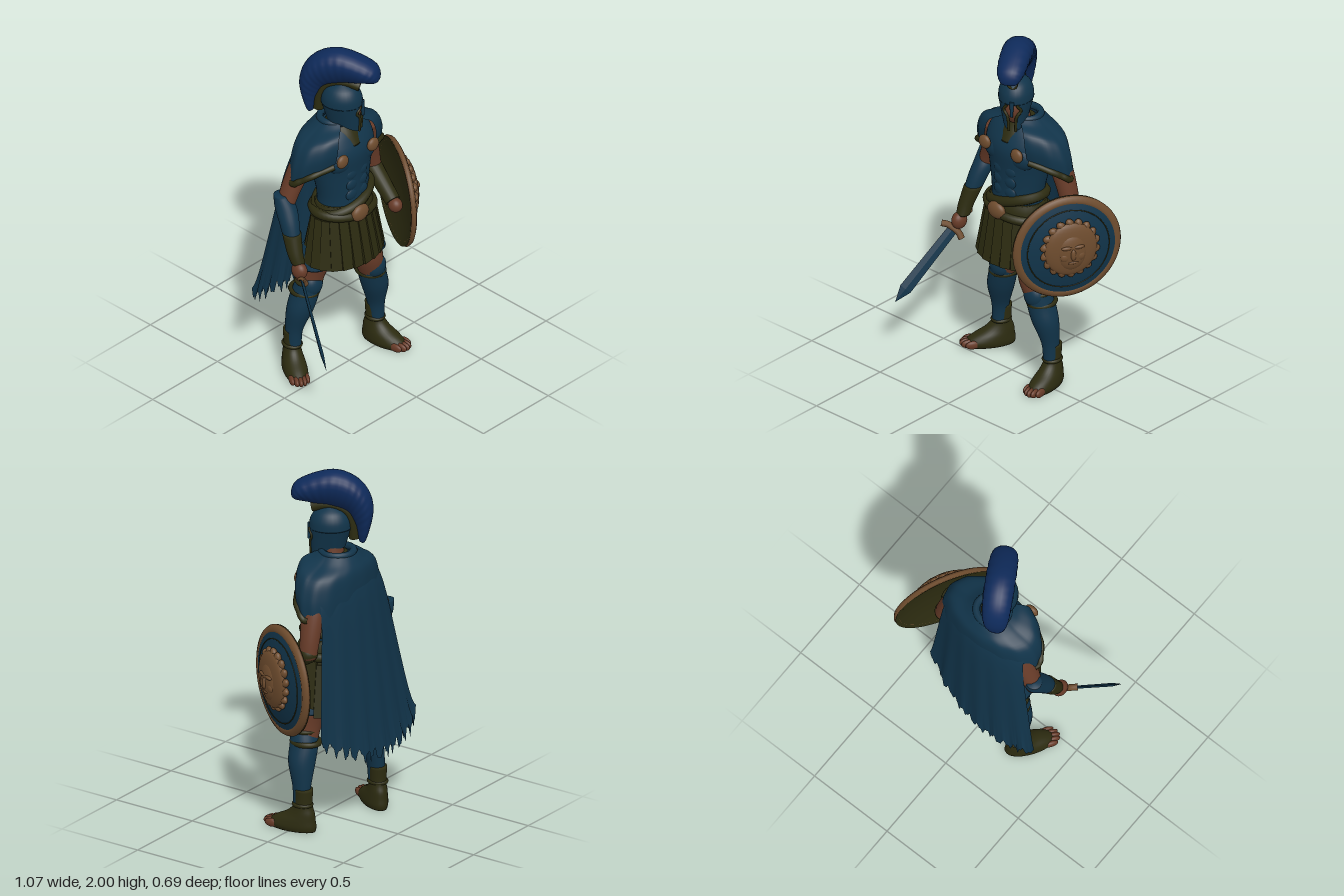
import * as THREE from 'three';
import { mergeVertices } from 'three/addons/utils/BufferGeometryUtils.js';

const paint = (name, color, side = THREE.FrontSide) => {
  const m = new THREE.MeshStandardMaterial({ color, side });
  m.name = name;
  return m;
};
const V = (x, y, z) => new THREE.Vector3(x, y, z);
const { sin, cos, PI } = Math;

// Smooth grid surface; f(u, v) gives a point, u runs up and v runs around
function surf(nu, nv, f) {
  const pos = [], idx = [], m = nv + 1;
  for (let i = 0; i <= nu; i++) for (let j = 0; j <= nv; j++) pos.push(...f(i / nu, j / nv));
  for (let i = 0; i < nu; i++) for (let j = 0; j < nv; j++) {
    const a = i * m + j, d = a + m;
    idx.push(a, a + 1, d + 1, a, d + 1, d);
  }
  let g = new THREE.BufferGeometry();
  g.setAttribute('position', new THREE.Float32BufferAttribute(pos, 3));
  g.setIndex(idx);
  g = mergeVertices(g, 1e-5);
  g.computeVertexNormals();
  return g;
}

// Smoothly interpolated row [y, cx, cz, rx, rz]
function rowAt(rows, t) {
  const s = t * (rows.length - 1), i = Math.min(Math.floor(s), rows.length - 2), f = s - i;
  const at = k => rows[Math.max(0, Math.min(rows.length - 1, k))];
  return rows[0].map((_, k) => {
    const [p, a, b, n] = [at(i - 1)[k], at(i)[k], at(i + 1)[k], at(i + 2)[k]];
    return a + 0.5 * f * (b - p + f * (2 * p - 5 * a + 4 * b - n + f * (3 * (a - b) + n - p)));
  });
}
// Capped stack of horizontal ellipses, listed bottom to top
function stack(rows, n = 28) {
  const nu = (rows.length - 1) * 5 + 2;
  return surf(nu, n, (u, v) => {
    const i = Math.round(u * nu), end = i === 0 || i === nu;
    const [y, cx, cz, rx, rz] = rowAt(rows, Math.min(1, Math.max(0, (i - 1) / (nu - 2))));
    const a = v * 2 * PI, k = end ? 0 : 1;
    return [cx + k * rx * sin(a), y, cz + k * rz * cos(a)];
  });
}

export function createModel() {
  const teal = paint('dark teal', 0x11344a, THREE.DoubleSide);
  const blue = paint('plume blue', 0x0e2a5a);
  const olive = paint('dark olive', 0x2c2b10, THREE.DoubleSide);
  const skin = paint('skin', 0x673b28);
  const bronze = paint('bronze', 0x6e4c2e);
  const model = new THREE.Group();
  model.name = 'warrior';

  const add = (name, geo, mat, parent = model) => {
    const m = new THREE.Mesh(geo, mat);
    m.name = name;
    parent.add(m);
    return m;
  };
  const group = (name, parent = model) => {
    const g = new THREE.Group();
    g.name = name;
    parent.add(g);
    return g;
  };
  const ball = (name, mat, p, r, parent) => {
    const m = add(name, new THREE.SphereGeometry(1, 24, 16), mat, parent);
    m.position.set(...p);
    m.scale.set(...r);
    return m;
  };
  const rod = (name, mat, a, b, ra, rb, parent) => {
    const p = V(...a), q = V(...b), d = q.clone().sub(p);
    const m = add(name, new THREE.CylinderGeometry(rb, ra, d.length(), 20), mat, parent);
    m.position.copy(p).add(q).multiplyScalar(0.5);
    m.quaternion.setFromUnitVectors(V(0, 1, 0), d.normalize());
    return m;
  };
  const cord = (name, mat, pts, r, parent, closed = false) => add(name, new THREE.TubeGeometry(
    new THREE.CatmullRomCurve3(pts.map(p => V(...p)), closed), 48, r, 8, closed), mat, parent);
  const hoop = (name, mat, [y, cx, cz, rx, rz], r, tilt = 0) => cord(name, mat,
    Array.from({ length: 16 }, (_, i) => {
      const a = i / 8 * PI;
      return [cx + rx * sin(a), y + tilt * sin(a), cz + rz * cos(a)];
    }), r, model, true);

  // Torso armour with shallow chest and stomach muscles
  add('cuirass', stack([[0.98, 0, -0.05, 0.17, 0.13], [1.1, 0, -0.05, 0.158, 0.12], [1.25, 0, -0.06, 0.185, 0.13],
    [1.38, 0, -0.07, 0.215, 0.145], [1.47, 0, -0.09, 0.19, 0.125], [1.53, 0, -0.09, 0.085, 0.075]], 40), teal);
  for (const s of [-1, 1]) {
    ball('chestMuscle', teal, [s * 0.08, 1.35, 0.012], [0.095, 0.075, 0.058]);
    for (let i = 0; i < 3; i++) ball('stomachMuscle', teal, [s * 0.036, 1.13 + i * 0.065, 0.052], [0.045, 0.04, 0.02]);
  }
  add('collar', stack([[1.43, 0, -0.06, 0.085, 0.122], [1.49, 0, -0.07, 0.088, 0.1], [1.54, 0, -0.08, 0.072, 0.072]]), olive);
  add('neck', stack([[1.48, 0, -0.075, 0.062, 0.062], [1.62, -0.01, -0.05, 0.06, 0.06]]), skin);

  // Belt, sash and strip skirt
  add('belt', stack([[0.97, 0, -0.05, 0.19, 0.145], [1.03, 0, -0.05, 0.178, 0.142], [1.07, 0, -0.05, 0.165, 0.13]]), olive);
  hoop('sash', olive, [1.07, 0, -0.05, 0.164, 0.124], 0.029, 0.05);
  hoop('lowerSash', olive, [1.0, 0, -0.05, 0.183, 0.141], 0.026, -0.02);
  ball('beltMedallion', bronze, [-0.02, 1.02, 0.1], [0.06, 0.05, 0.03]);
  add('skirtLining', stack([[0.72, 0, -0.05, 0.225, 0.155], [0.85, 0, -0.05, 0.203, 0.145], [1.0, 0, -0.05, 0.175, 0.13]]), olive);
  for (let i = 0; i < 22; i++) {
    const a = i / 22 * 2 * PI, drop = cos(a) < -0.3 ? 0.05 : 0;
    const strip = add('skirtStrip', new THREE.BoxGeometry(0.06, 0.29, 0.02), olive);
    strip.position.set(0.213 * sin(a), 0.848 - drop, -0.05 + 0.158 * cos(a));
    strip.rotation.order = 'YXZ';
    strip.rotation.set(-0.18, Math.atan2(sin(a) / 0.213, cos(a) / 0.158) + 0.12, 0);
  }

  // Legs: side, knee z, ankle z and foot turn
  for (const [s, zk, za, turn] of [[1, 0, -0.05, 0.13], [-1, -0.12, -0.185, -0.57]]) {
    const leg = group(s > 0 ? 'leftLeg' : 'rightLeg');
    add('thigh', stack([[0.48, s * 0.185, zk - 0.02, 0.062, 0.065], [0.6, s * 0.155, zk - 0.015, 0.085, 0.085],
      [0.72, s * 0.125, zk * 0.5 - 0.04, 0.1, 0.1], [0.82, s * 0.1, -0.05, 0.1, 0.1]]), skin, leg);
    add('tunicHem', stack([[0.668, s * 0.163, zk * 0.7 - 0.03, 0.1, 0.108], [0.74, s * 0.135, zk * 0.5 - 0.04, 0.1, 0.108],
      [0.82, s * 0.1, -0.05, 0.1, 0.1]]), teal, leg);
    add('greave', stack([[0.14, s * 0.25, za + 0.012, 0.04, 0.044], [0.25, s * 0.245, za + 0.01, 0.046, 0.052],
      [0.38, s * 0.222, (za + zk) / 2, 0.074, 0.074], [0.48, s * 0.195, zk - 0.02, 0.076, 0.078],
      [0.56, s * 0.178, zk - 0.005, 0.072, 0.07]]), teal, leg);
    ball('kneeGuard', teal, [s * 0.182, 0.54, zk + 0.022], [0.062, 0.07, 0.048], leg);
    hoop('greaveTrim', olive, [0.555, s * 0.176, zk - 0.012, 0.068, 0.066], 0.012);
    hoop('calfStrap', olive, [0.49, s * 0.192, zk - 0.03, 0.066, 0.076], 0.016);
    hoop('ankleStrap', olive, [0.15, s * 0.25, za, 0.043, 0.05], 0.011);
    const foot = group('foot', leg);
    foot.position.set(s * 0.25, 0, za);
    foot.rotation.y = turn;
    add('boot', stack([[0, 0, 0.06, 0.058, 0.135], [0.025, 0, 0.065, 0.066, 0.145], [0.06, 0, 0.045, 0.062, 0.12],
      [0.1, 0, 0.01, 0.052, 0.08], [0.15, 0, -0.003, 0.045, 0.052], [0.24, 0, -0.008, 0.048, 0.05]]), olive, foot);
    for (let i = -2; i <= 2; i++)
      ball('toe', skin, [i * 0.021, 0.024, 0.192 - 0.006 * i * i], [0.015, 0.024, 0.04], foot);
  }

  // Right arm
  add('rightUpperArm', stack([[1.08, -0.335, -0.16, 0.045, 0.05], [1.17, -0.3, -0.155, 0.053, 0.056],
    [1.28, -0.255, -0.14, 0.058, 0.066], [1.4, -0.215, -0.11, 0.06, 0.07]]), skin);
  add('rightBracer', stack([[0.92, -0.365, -0.07, 0.042, 0.046], [1.02, -0.35, -0.11, 0.052, 0.058],
    [1.1, -0.338, -0.15, 0.056, 0.062], [1.17, -0.345, -0.175, 0.042, 0.04]]), teal);
  add('rightWristWrap', stack([[0.81, -0.375, -0.02, 0.036, 0.04], [0.87, -0.374, -0.045, 0.042, 0.046],
    [0.97, -0.358, -0.085, 0.05, 0.055]]), olive);
  ball('rightHand', skin, [-0.385, 0.775, 0.0], [0.038, 0.05, 0.048]);
  // Left arm, reaching behind the shield
  add('leftUpperArm', stack([[1.04, 0.315, -0.13, 0.045, 0.05], [1.15, 0.292, -0.13, 0.053, 0.056],
    [1.28, 0.255, -0.12, 0.058, 0.066], [1.4, 0.215, -0.1, 0.06, 0.07]]), skin);
  rod('leftBracer', olive, [0.31, 1.06, -0.13], [0.275, 0.93, 0.06], 0.052, 0.042);
  ball('leftElbow', olive, [0.31, 1.06, -0.13], [0.052, 0.052, 0.052]);
  ball('leftHand', skin, [0.272, 0.915, 0.08], [0.038, 0.042, 0.042]);

  // Sword
  const sword = group('sword');
  const d = V(-0.15, -0.42, 0.35).normalize(), n = d.clone().cross(V(0, 1, 0)).normalize();
  sword.quaternion.setFromRotationMatrix(new THREE.Matrix4().makeBasis(d.clone().cross(n), d, n));
  sword.rotateY(0.52);
  sword.position.set(-0.385, 0.77, 0.0);
  rod('grip', olive, [0, -0.07, 0], [0, 0.05, 0], 0.016, 0.016, sword);
  ball('pommel', bronze, [0, -0.08, 0], [0.024, 0.02, 0.024], sword);
  cord('guard', bronze, [[-0.07, 0.068, 0], [-0.035, 0.052, 0], [0, 0.05, 0], [0.035, 0.052, 0], [0.07, 0.068, 0]], 0.018, sword);
  const blade = add('blade', new THREE.CylinderGeometry(0.034, 0.028, 0.42, 4).toNonIndexed(), teal, sword);
  const tip = add('bladeTip', new THREE.ConeGeometry(0.034, 0.09, 4).toNonIndexed(), teal, sword);
  for (const [m, y] of [[blade, 0.26], [tip, 0.515]]) {
    m.geometry.computeVertexNormals();
    m.scale.z = 0.28;
    m.position.y = y;
  }

  // Round shield with a sculpted face in the middle
  const shield = group('shield');
  shield.position.set(0.385, 0.905, -0.018);
  shield.rotation.y = 1.08;
  const disc = (name, pts, mat) => {
    add(name, new THREE.LatheGeometry(pts.map(p => new THREE.Vector2(...p)), 64), mat, shield).rotation.x = PI / 2;
  };
  disc('shieldFace', [[0.285, 0.012], [0.2, 0.038], [0.1, 0.052], [0, 0.056]], teal);
  disc('shieldBack', [[0, 0.03], [0.1, 0.026], [0.2, 0.014], [0.27, -0.008], [0.303, -0.016]], olive);
  disc('shieldRim', [[0.268, 0.012], [0.278, -0.01], [0.3, -0.013], [0.307, 0], [0.3, 0.014], [0.28, 0.024], [0.267, 0.02]], bronze);
  add('shieldRing', new THREE.TorusGeometry(0.232, 0.003, 8, 64), olive, shield).position.z = 0.029;
  const emblem = group('emblem', shield);
  emblem.position.set(0, 0.018, 0.012);
  ball('emblemBase', bronze, [0, 0, 0.055], [0.15, 0.158, 0.034], emblem);
  for (let i = 0; i < 18; i++) {
    const a = i / 18 * 2 * PI;
    const lock = ball('emblemLock', bronze, [0.138 * sin(a), 0.146 * cos(a), 0.044], [0.024, 0.034, 0.02], emblem);
    lock.rotation.z = -a + 0.4;
  }
  ball('emblemFace', bronze, [0, -0.01, 0.066], [0.088, 0.11, 0.036], emblem);
  ball('emblemNose', bronze, [0, -0.015, 0.1], [0.015, 0.034, 0.013], emblem);
  ball('emblemMouth', bronze, [0, -0.064, 0.09], [0.032, 0.01, 0.012], emblem);
  for (const s of [-1, 1]) {
    ball('emblemBrow', bronze, [s * 0.034, 0.028, 0.093], [0.032, 0.011, 0.012], emblem);
    ball('emblemCheek', bronze, [s * 0.042, -0.03, 0.084], [0.028, 0.028, 0.016], emblem);
  }

  // Mantle over the shoulders, open at the chest
  const mantleRows = [[1.25, 0, -0.11, 0.318, 0.145], [1.36, 0, -0.1, 0.308, 0.158], [1.46, 0, -0.1, 0.262, 0.152],
    [1.515, 0, -0.105, 0.155, 0.12], [1.565, 0, -0.1, 0.09, 0.085]];
  const mantle = (u, v) => {
    const a = 0.5 + v * (2 * PI - 1), [y, cx, cz, rx, rz] = rowAt(mantleRows, u);
    const fold = 1 + 0.01 * sin(a * 14) * (1 - u), front = Math.max(0, cos(a)) * (1 - u);
    return [cx + rx * fold * sin(a), y + 0.12 * front, cz + (rz * fold + 0.03 * front) * cos(a)];
  };
  add('mantle', surf(24, 80, mantle), teal);
  for (const s of [-1, 1]) {
    const edge = Array.from({ length: 9 }, (_, i) => mantle(0, 0.004 + i * 0.028)).map(([x, y, z]) => [s * x, y, z]);
    cord('mantleTrim', olive, edge, 0.018);
    ball('mantleClasp', bronze, [s * 0.117 - 0.012, 1.39, 0.075], [0.04, 0.04, 0.022]);
  }
  hoop('neckRoll', teal, [1.55, 0, -0.1, 0.09, 0.085], 0.02);

  // Long cape with soft folds and a torn hem
  add('cape', surf(40, 120, (v, t) => {
    const u = t * 2 - 1, k = t * 13;
    const tear = (0.075 * Math.abs((k % 1) * 2 - 1) + 0.035 * Math.abs(((k * 2.3) % 1) * 2 - 1)) * v ** 8;
    const x = (0.26 + 0.125 * v) * u - 0.06 * v + 0.006 * sin(k * 2) * v;
    const y = 1.5 - (1.15 - 0.12 * u * u - 0.03 * u) * v + tear - 0.06 * u * u * (1 - v);
    const z = -0.262 - 0.075 * v + 0.075 * u * u + 0.04 * u * v + 0.005 * sin(u * 17) * v + 0.06 * (1 - v) ** 14;
    return [x, y, z];
  }), teal);

  // Head and helmet, turned towards the left
  const head = group('head');
  head.position.set(-0.01, 0, -0.045);
  head.rotation.y = 0.53;
  ball('face', skin, [0, 1.62, 0.012], [0.072, 0.1, 0.092], head);
  add('helmetSkull', stack([[1.67, 0, 0, 0.096, 0.115], [1.72, 0, 0, 0.092, 0.108], [1.765, 0, 0, 0.068, 0.08],
    [1.795, 0, 0, 0.02, 0.024]]), teal, head);
  const guard = (u, v) => {
    const a0 = 0.27 + 0.3 * Math.exp(-(((u - 0.74) / 0.15) ** 2)), a = a0 + v * 2 * (PI - a0), c = cos(a);
    const low = 1.565 - 0.06 * Math.max(0, c), w = 0.72 + 0.28 * u;
    return [0.096 * w * sin(a), low + (1.675 - low) * u, 0.115 * (c > 0 ? 0.9 + 0.1 * u : w) * c];
  };
  add('cheekGuards', surf(20, 64, guard), teal, head);
  for (const v of [0, 1])
    cord('cheekTrim', olive, Array.from({ length: 11 }, (_, i) => guard(i / 10, v)), 0.008, head);
  rod('noseGuard', teal, [0, 1.6, 0.116], [0, 1.69, 0.11], 0.007, 0.013, head);

  // Crest holder and plume
  cord('crestHolder', olive, [[0, 1.785, 0.1], [0, 1.8, 0.04], [0, 1.795, -0.03], [0, 1.765, -0.09], [0, 1.7, -0.12], [0, 1.61, -0.13]], 0.03, head);
  // Rows: inner z, inner y, outer z, outer y, half width
  const plume = [[0.14, 1.81, 0.235, 1.855, 0.065], [0.085, 1.8, 0.185, 1.94, 0.08], [0, 1.795, -0.015, 2.0, 0.08],
    [-0.09, 1.765, -0.17, 1.935, 0.077], [-0.125, 1.69, -0.24, 1.79, 0.07], [-0.14, 1.59, -0.205, 1.585, 0.05]];
  add('plume', surf(90, 28, (u, v) => {
    const [iz, iy, oz, oy, w] = rowAt(plume, u), b = v * 2 * PI;
    const s = Math.max(0, sin(PI * u)) ** 0.25, c = cos(b) * s / 2;
    const ridge = 1 + 0.015 * cos(u * 110);
    return [w * s * ridge * sin(b) * (1 + 0.3 * cos(b)), (iy + oy) / 2 + (oy - iy) * c, (iz + oz) / 2 + (oz - iz) * c];
  }), blue, head);

  return model;
}
